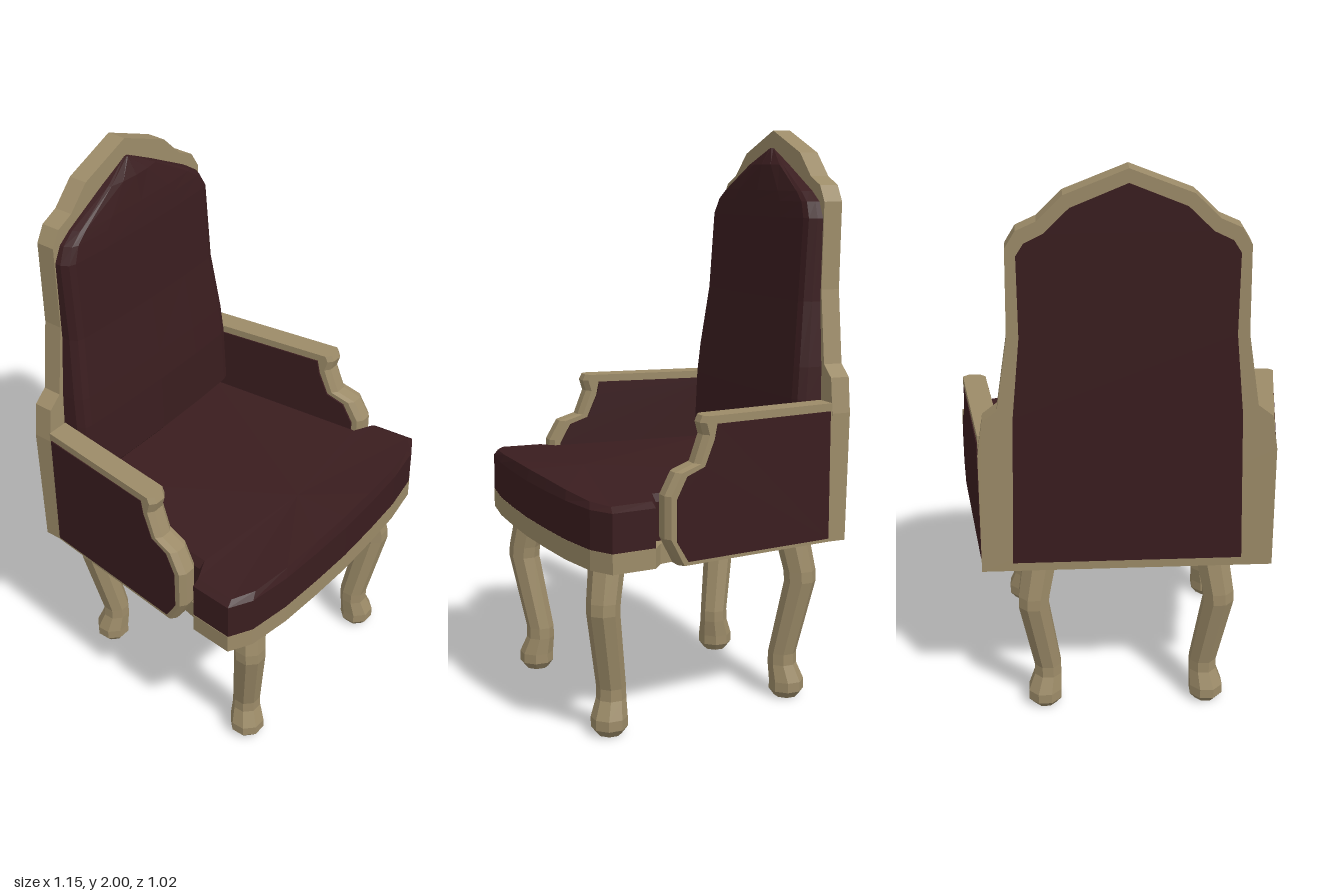
import * as THREE from 'three';

const wood = new THREE.MeshStandardMaterial({ color: 0x9c8b68 });
wood.name = 'carved wood';
const fabric = new THREE.MeshStandardMaterial({ color: 0x3a1d1f });
fabric.name = 'dark red upholstery';

// Half outline (first point at x = 0) completed by mirroring in x
const mirror = (half) => [
  ...half,
  ...half.filter((p) => p[0] > 0).reverse().map(([x, ...rest]) => [-x, ...rest]),
];

// Faceted solid through stacked rings of [x, y, z], ordered upwards, capped at both ends
function loft(rings) {
  const pos = [];
  const n = rings[0].length;
  const tri = (...pts) => pts.forEach((p) => pos.push(...p));
  for (let r = 0; r < rings.length - 1; r++) {
    for (let i = 0; i < n; i++) {
      const j = (i + 1) % n, a = rings[r], b = rings[r + 1];
      tri(a[i], a[j], b[j]);
      tri(a[i], b[j], b[i]);
    }
  }
  const centre = (ring, y) => [0, y, 0].map((v, k) => (k === 1 ? v : ring.reduce((s, p) => s + p[k], 0) / n));
  const low = rings[0], high = rings[rings.length - 1];
  const lowC = centre(low, Math.min(...low.map((p) => p[1])));
  const highC = centre(high, Math.max(...high.map((p) => p[1])));
  for (let i = 0; i < n; i++) {
    const j = (i + 1) % n;
    tri(lowC, low[j], low[i]);
    tri(highC, high[i], high[j]);
  }
  const geo = new THREE.BufferGeometry();
  geo.setAttribute('position', new THREE.Float32BufferAttribute(pos, 3));
  geo.computeVertexNormals();
  return geo;
}

// Flat outline extruded, then each vertex moved by a rule
function slab(points, depth, rule, steps = 1) {
  const shape = new THREE.Shape(points.map((p) => new THREE.Vector2(...p)));
  const geo = new THREE.ExtrudeGeometry(shape, { depth, steps, bevelEnabled: false });
  const p = geo.attributes.position;
  for (let i = 0; i < p.count; i++) p.setXYZ(i, ...rule(p.getX(i), p.getY(i), p.getZ(i)));
  geo.computeVertexNormals();
  return geo;
}

export function createModel() {
  const chair = new THREE.Group();
  chair.name = 'armchair';
  const add = (name, geo, mat) => {
    const mesh = new THREE.Mesh(geo, mat);
    mesh.name = name;
    chair.add(mesh);
  };

  // Backrest leans slightly backwards
  const backFront = (y) => -0.4 - (y - 0.61) * 0.027;
  const lean = (offset) => (x, y, z) => [x, y, backFront(y) + offset + z];
  add('backFrame', slab(mirror([
    [0, 2], [0.2, 1.92], [0.28, 1.84], [0.345, 1.81], [0.378, 1.755], [0.382, 1.46],
    [0.42, 1.21], [0.47, 1.17], [0.488, 1.05], [0.49, 0.608],
  ]), 0.069, lean(-0.069)), wood);
  add('backPanel', slab(mirror([
    [0, 1.955], [0.18, 1.88], [0.26, 1.8], [0.32, 1.77], [0.345, 1.73], [0.343, 1.46],
    [0.37, 1.18], [0.385, 0.64],
  ]), 0.006, lean(-0.072)), fabric);

  // Back cushion: rows of height, half width, front depth
  add('backCushion', loft([
    [0.84, 0.4, -0.335], [0.875, 0.42, -0.305], [1.09, 0.41, -0.31], [1.2, 0.403, -0.32],
    [1.42, 0.378, -0.345], [1.7, 0.374, -0.363], [1.755, 0.345, -0.37], [1.79, 0.295, -0.375],
    [1.88, 0.125, -0.392], [1.938, 0.008, -0.425],
  ].map(([y, w, z]) => mirror([
    [0, y, z], [w * 0.5, y, z - 0.003], [w * 0.9, y, z - 0.011], [w * 0.96, y, z - 0.02],
    [w, y, Math.max(z - 0.045, backFront(y))], [w, y, backFront(y) - 0.01],
  ]))), fabric);

  // Seat base and cushion share a bowed front, notched around the arms
  const seatFront = [
    [0, 0.51], [0.17, 0.505], [0.34, 0.495], [0.495, 0.47], [0.574, 0.425], [0.56, 0.27],
  ];
  const cushionOutline = mirror([...seatFront, [0.48, 0.235], [0.42, -0.41]]);
  const baseOutline = mirror([...seatFront, [0.515, 0.235], [0.5, 0.17], [0.43, -0.41]]);
  const ring = (outline, y, s, sag = 0) => outline.map(([x, z]) => [
    x * s, y - sag * (x / 0.5) ** 2, 0.3 + (z - 0.3) * s,
  ]);
  add('seatBase', loft([ring(baseOutline, 0.608, 1), ring(baseOutline, 0.675, 1)]), wood);
  add('seatCushion', loft([
    ring(cushionOutline, 0.675, 0.997), ring(cushionOutline, 0.805, 0.997),
    ring(cushionOutline, 0.845, 0.95, 0.018),
  ]), fabric);

  // Arms splay outwards to the front; profiles are [z, y]
  const armOuter = (z) => 0.49 + (z + 0.41) * 0.132;
  const armProfile = [
    [-0.41, 0.608], [-0.41, 1.087], [0.098, 1.087], [0.108, 1.065], [0.096, 1.025], [0.13, 0.935],
    [0.2, 0.912], [0.24, 0.84], [0.24, 0.7], [0.19, 0.608],
  ];
  const panelProfile = [
    [-0.402, 0.62], [-0.402, 1.06], [0.052, 1.06], [0.062, 1.01], [0.098, 0.925],
    [0.165, 0.9], [0.203, 0.83], [0.203, 0.69], [0.16, 0.62],
  ];
  // Inset runs in from the outer face; setback chamfers the front corners
  const armSlab = (profile, s, inset, depth, setback = 0) => slab(
    profile.map(([z, y]) => [-s * z, y]), depth,
    (u, y, w) => {
      const z = -s * u;
      const edge = z > 0 && (w < 0.001 || w > depth - 0.001);
      return [s * (armOuter(z) - inset + w), y, edge ? z - setback : z];
    }, setback ? 4 : 1,
  );
  for (const [s, side] of [[1, 'left'], [-1, 'right']]) {
    add(side + 'Arm', armSlab(armProfile, s, 0.08, 0.08, 0.016), wood);
    add(side + 'ArmOuterPanel', armSlab(panelProfile, s, 0.002, 0.006), fabric);
    add(side + 'ArmInnerPanel', armSlab(panelProfile, s, 0.084, 0.006), fabric);
  }

  // Cabriole legs: rows of height, outward shift, radius
  const legRows = [
    [0, -0.005, 0.042], [0.025, -0.004, 0.062], [0.06, -0.004, 0.062], [0.12, -0.016, 0.051],
    [0.16, -0.016, 0.05], [0.43, 0.028, 0.056], [0.47, 0.026, 0.057], [0.62, 0, 0.062],
  ];
  const leg = (x, z) => loft(legRows.map(([y, out, r]) =>
    Array.from({ length: 8 }, (_, i) => {
      const a = ((i + 0.5) * Math.PI) / 4;
      return [x + Math.sign(x) * out + r * Math.cos(a), y, z + Math.sign(z) * out - r * Math.sin(a)];
    })));
  for (const [s, side] of [[1, 'Left'], [-1, 'Right']]) {
    add('front' + side + 'Leg', leg(s * 0.37, 0.36), wood);
    add('back' + side + 'Leg', leg(s * 0.293, -0.365), wood);
  }
  return chair;
}
